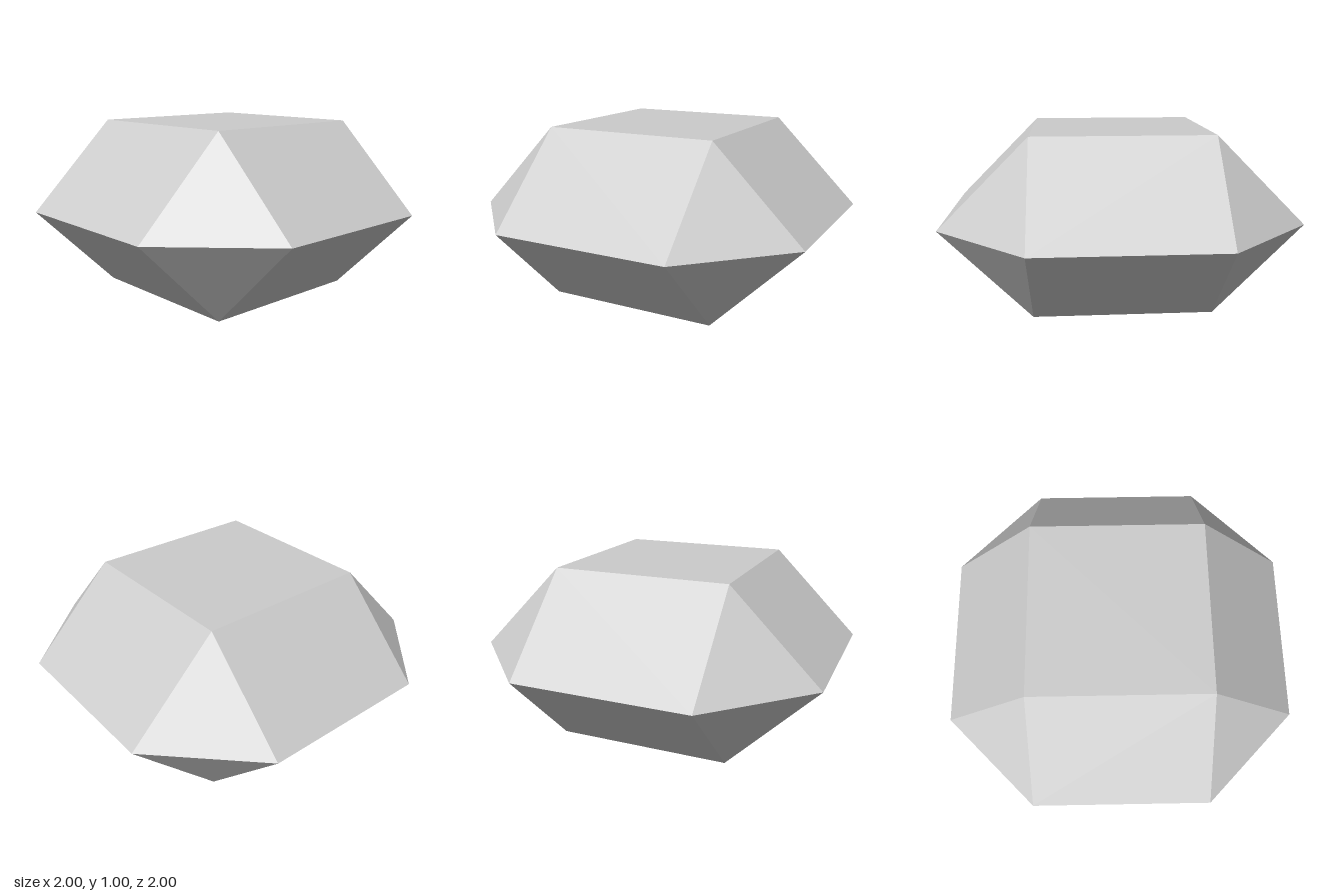
import * as THREE from 'three';
import { ConvexGeometry } from 'three/addons/geometries/ConvexGeometry.js';

export function createModel() {
  const group = new THREE.Group();
  group.name = 'facetedGem';

  const grey = new THREE.MeshStandardMaterial({ color: 0xcccccc });
  grey.name = 'light grey';

  // Square top and base, with a wider eight-cornered girdle halfway up
  const points = [];
  for (const sx of [-1, 1]) {
    for (const sz of [-1, 1]) {
      points.push(
        new THREE.Vector3(0.5 * sx, 1, 0.5 * sz),
        new THREE.Vector3(0.5 * sx, 0, 0.5 * sz),
        new THREE.Vector3(sx, 0.5, 0.5 * sz),
        new THREE.Vector3(0.5 * sx, 0.5, sz)
      );
    }
  }

  const body = new THREE.Mesh(new ConvexGeometry(points), grey);
  body.name = 'facetedBody';
  group.add(body);
  return group;
}
